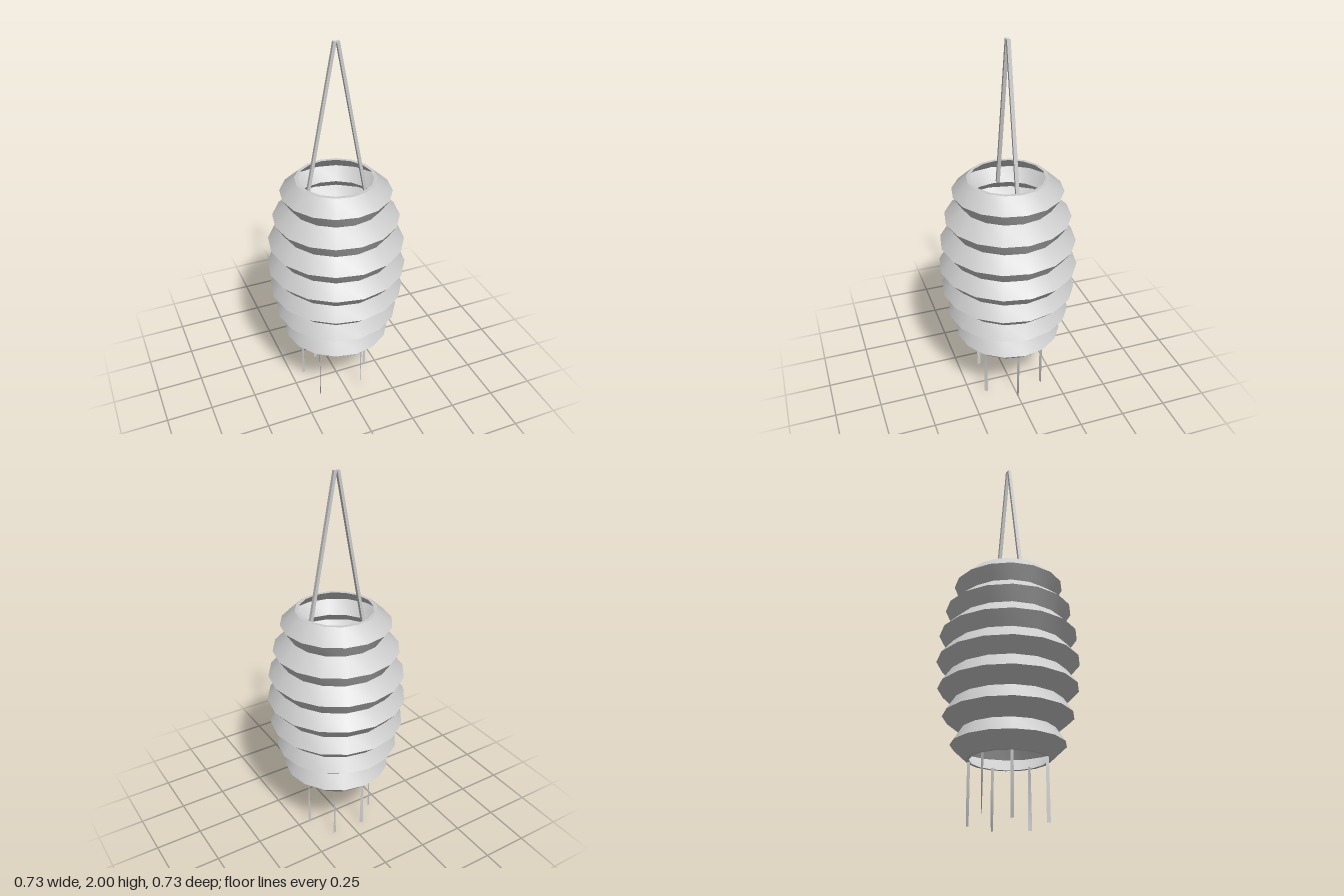
import * as THREE from 'three';
import { toCreasedNormals } from 'three/addons/utils/BufferGeometryUtils.js';

const material = new THREE.MeshStandardMaterial({ color: 0xcccccc });
const ribbonMaterial = new THREE.MeshStandardMaterial({ color: 0xcccccc, side: THREE.DoubleSide });

function addMesh(parent, name, geometry, mat = material) {
  const mesh = new THREE.Mesh(geometry, mat);
  mesh.name = name;
  parent.add(mesh);
  return mesh;
}

// Pleated paper shell: alternating rims, folds and waists, with a thin wall
function shellGeometry() {
  const half = [0.208, 0.285, 0.238, 0.327, 0.28, 0.355, 0.303];
  const radii = [...half, 0.365, ...half.slice().reverse()];
  const bottom = 0.306, step = 1 / (radii.length - 1), wall = 0.018;
  const outer = radii.map((r, i) => new THREE.Vector2(r, bottom + i * step));
  const inner = outer.map(p => new THREE.Vector2(p.x - wall, p.y)).reverse();
  const profile = [...outer, ...inner, outer[0].clone()];
  return toCreasedNormals(new THREE.LatheGeometry(profile, 16), 0.6);
}

// Thin hanging ribbon whose width direction turns from angle a to angle b
function ribbonGeometry(a, b) {
  const width = 0.02, height = 0.312, rows = 4;
  const geometry = new THREE.PlaneGeometry(width, height, 1, rows);
  const pos = geometry.attributes.position;
  for (let i = 0; i < pos.count; i++) {
    const t = 0.5 - pos.getY(i) / height;
    const angle = THREE.MathUtils.degToRad(a + (b - a) * t);
    const w = pos.getX(i) * (0.75 + 0.25 * t);
    pos.setXYZ(i, w * Math.cos(angle), -t * height, -w * Math.sin(angle));
  }
  geometry.computeVertexNormals();
  return geometry;
}

export function createModel() {
  const lantern = new THREE.Group();
  lantern.name = 'paperLantern';

  addMesh(lantern, 'pleatedShell', shellGeometry());

  // Bulb in the middle, one vertex pointing up
  const bulbGeometry = new THREE.IcosahedronGeometry(0.095, 1);
  bulbGeometry.rotateZ(-Math.atan(2 / (1 + Math.sqrt(5))));
  bulbGeometry.rotateY(Math.PI / 2);
  addMesh(lantern, 'bulb', bulbGeometry).position.y = 0.806;

  // Two rods meeting at the top
  const handle = new THREE.Group();
  handle.name = 'handle';
  lantern.add(handle);
  for (const side of [1, -1]) {
    const low = new THREE.Vector2(0.16 * side, 1.2), high = new THREE.Vector2(0.008 * side, 1.9985);
    const along = high.clone().sub(low);
    const rod = addMesh(handle, side > 0 ? 'leftRod' : 'rightRod',
      new THREE.BoxGeometry(0.015, along.length(), 0.018));
    rod.position.set((low.x + high.x) / 2, (low.y + high.y) / 2, 0);
    rod.rotation.z = Math.atan2(along.y, along.x) - Math.PI / 2;
  }

  // Ribbons under the lower rim: x, z, turn at the top and at the bottom
  const tassels = new THREE.Group();
  tassels.name = 'tassels';
  lantern.add(tassels);
  const ribbons = [
    [0.18, 0, 50, 5], [0.085, 0.158, 30, 65], [-0.15, 0.13, 75, 85],
    [-0.178, -0.07, 50, 25], [-0.065, -0.167, 25, -25], [0.11, -0.16, 50, 15],
  ];
  for (const [x, z, a, b] of ribbons) {
    addMesh(tassels, 'ribbon', ribbonGeometry(a, b), ribbonMaterial).position.set(x, 0.312, z);
  }
  return lantern;
}
